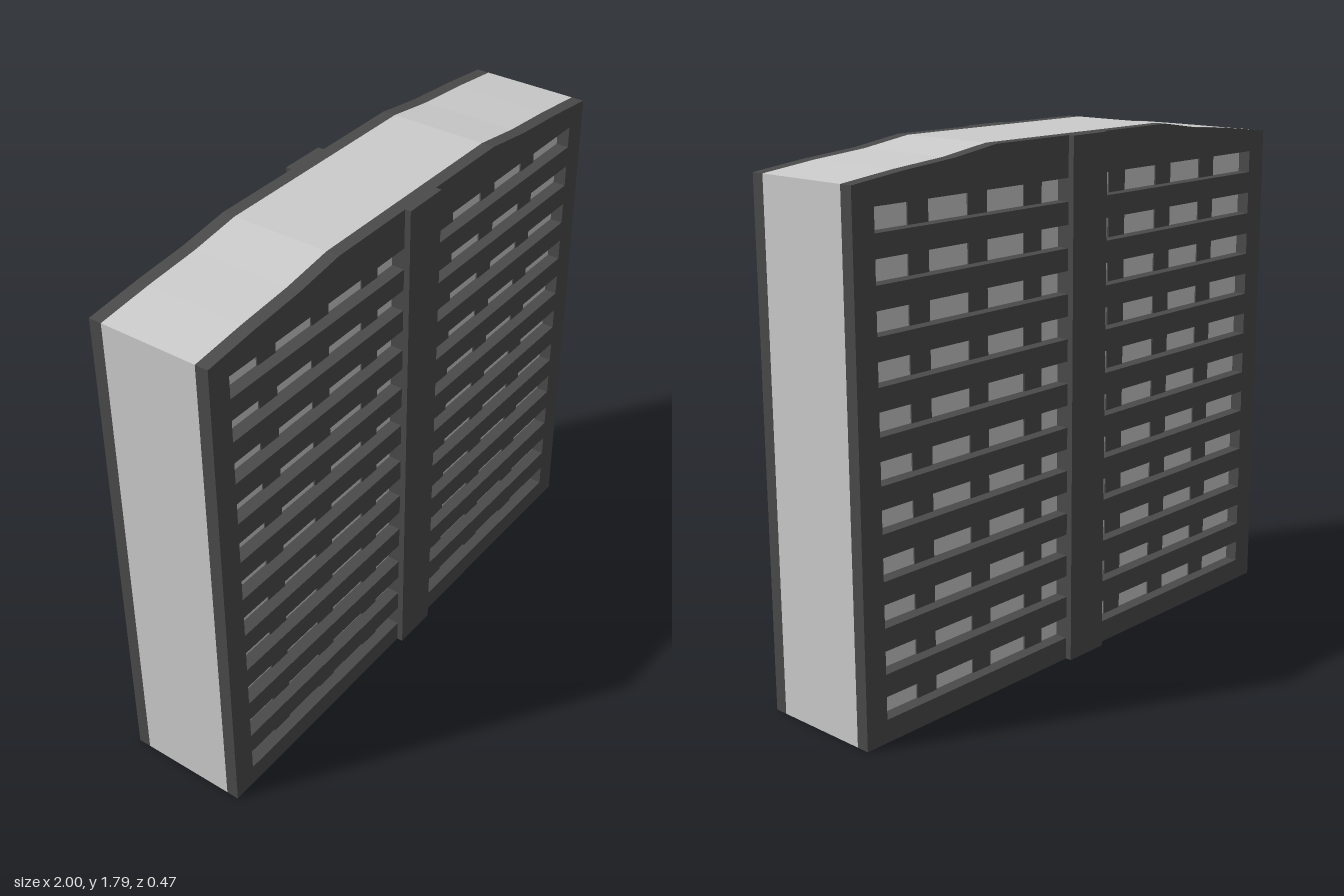
import * as THREE from 'three';

const CORE_Z = 0.171;   // half depth of the inner block
const FACE_Z = 0.216;   // outer plane of the slotted facade
const PIER_Z = 0.176;   // thin piers lying on the inner block
const FIN_Z = 0.237;    // outer plane of the central fin
const TOP = 1.792;
const UNIT = 1 / 12;    // horizontal module of the facade
const ROWS = 11, ROW_START = 0.077, ROW_STEP = 0.1504, ROW_HEIGHT = 0.076;

// Right half of the roof line, from the flat middle to the eave
const ROOF = [[0.415, TOP], [0.6, 1.765], [0.8, 1.748], [1, 1.725]];

function outline() {
  const shape = new THREE.Shape();
  shape.moveTo(-1, 0);
  shape.lineTo(1, 0);
  [...ROOF].reverse().forEach(([x, y]) => shape.lineTo(x, y));
  ROOF.forEach(([x, y]) => shape.lineTo(-x, y));
  shape.closePath();
  return shape;
}

function slot(x0, x1, y0, y1) {
  const path = new THREE.Path();
  path.moveTo(x0, y0);
  path.lineTo(x0, y1);
  path.lineTo(x1, y1);
  path.lineTo(x1, y0);
  path.closePath();
  return path;
}

function extrude(shape, z0, z1) {
  return new THREE.ExtrudeGeometry(shape, { depth: z1 - z0, bevelEnabled: false }).translate(0, 0, z0);
}

function block(x, width, y0, y1, z0, z1) {
  return new THREE.BoxGeometry(width, y1 - y0, z1 - z0).translate(x, (y0 + y1) / 2, (z0 + z1) / 2);
}

export function createModel() {
  const model = new THREE.Group();
  model.name = 'building';
  const grey = new THREE.MeshStandardMaterial({ color: 0xcccccc, flatShading: true });
  const dark = new THREE.MeshStandardMaterial({ color: 0x4a4a4a, flatShading: true });

  const add = (parent, name, geometry, material) => {
    const mesh = new THREE.Mesh(geometry, material);
    mesh.name = name;
    parent.add(mesh);
  };

  // Inner block with the sloping roof
  add(model, 'core', extrude(outline(), -CORE_Z, CORE_Z), grey);

  // Facade panel with one long slot per storey on each side of the fin
  const panel = outline();
  for (let i = 0; i < ROWS; i++) {
    const y0 = ROW_START + i * ROW_STEP, y1 = y0 + ROW_HEIGHT;
    panel.holes.push(slot(UNIT, 11 * UNIT, y0, y1), slot(-11 * UNIT, -UNIT, y0, y1));
  }
  const panelGeometry = extrude(panel, CORE_Z, FACE_Z);
  const finGeometry = block(0, 2 * UNIT, 0, TOP, CORE_Z, FIN_Z);

  // The same facade on the front and the back
  for (const [name, angle] of [['frontFacade', 0], ['backFacade', Math.PI]]) {
    const facade = new THREE.Group();
    facade.name = name;
    facade.rotation.y = angle;
    add(facade, 'slottedPanel', panelGeometry, dark);
    add(facade, 'centralFin', finGeometry, dark);
    // Shallow piers splitting the slots into windows
    for (const side of [-1, 1]) {
      for (const k of [2.5, 5.5, 8.5]) {
        add(facade, 'windowPier', block(side * k * UNIT, UNIT, 0.04, 1.69, CORE_Z - 0.01, PIER_Z), dark);
      }
    }
    model.add(facade);
  }
  return model;
}
